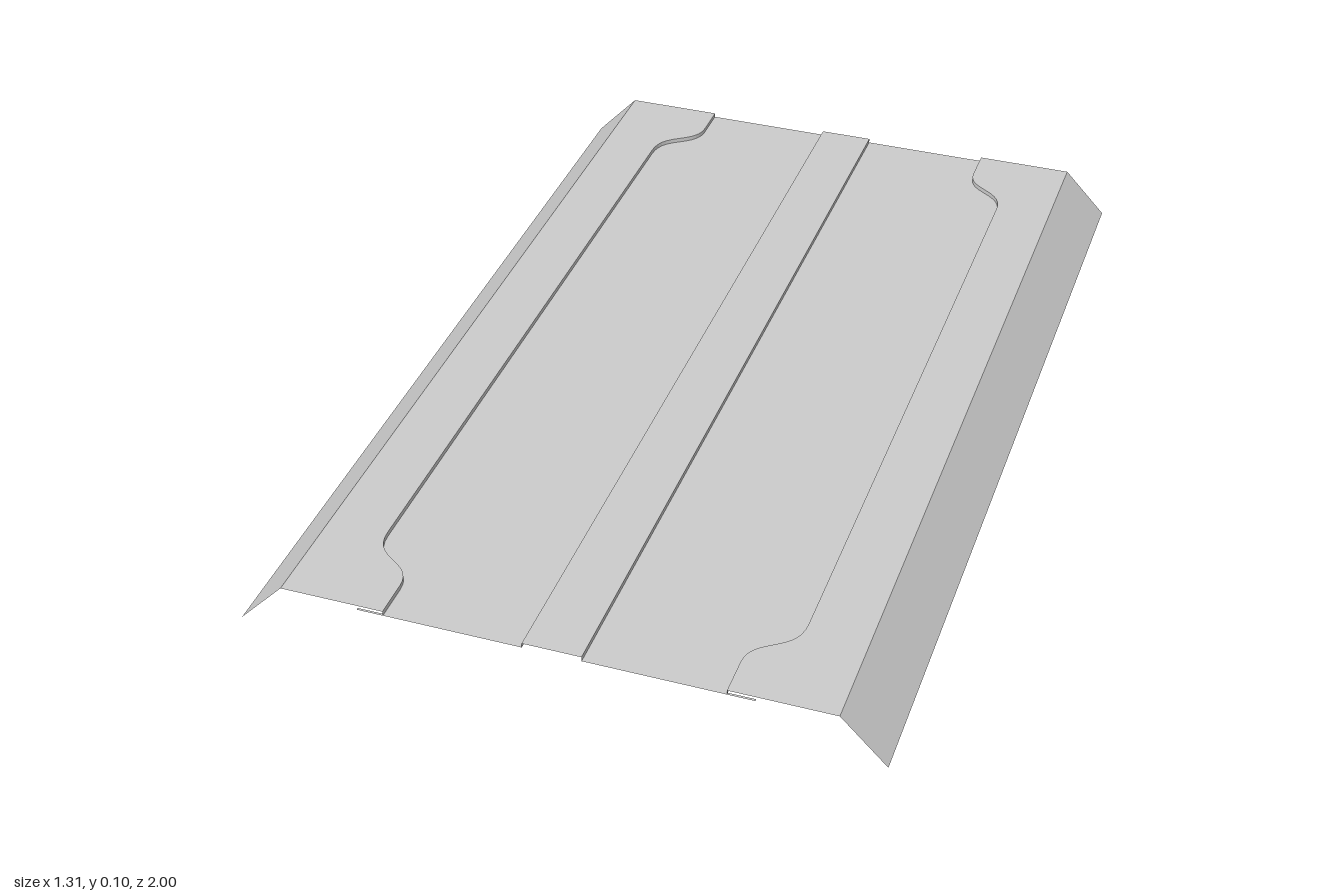
import * as THREE from 'three';

const TOP = 0.1, LOW = 0.09;          // raised and recessed sheet levels
const RIB = 0.06, FOLD = 0.56, EDGE = 0.655;

const material = new THREE.MeshStandardMaterial({
  color: 0xcccccc, flatShading: true, side: THREE.DoubleSide,
});

// Outline of the recess: narrow at the ends, wide along the middle
const bend = new THREE.CubicBezierCurve(
  new THREE.Vector2(0.345, 0.92), new THREE.Vector2(0.345, 0.845),
  new THREE.Vector2(0.435, 0.865), new THREE.Vector2(0.435, 0.78)).getPoints(14);
const outline = [
  [0.345, 1], ...bend.map(p => [p.x, p.y]),
  ...bend.slice().reverse().map(p => [p.x, -p.y]), [0.345, -1],
];
const ends = [[0, 1], [0, -1]];

// Sheet strip between two edges, each given as a function of an outline point
function strip(name, stations, inner, outer) {
  const pos = [], index = [];
  stations.forEach(([x, z], i) => {
    const [ax, ay] = inner(x), [bx, by] = outer(x);
    pos.push(ax, ay, z, bx, by, z);
    if (i) {
      const k = 2 * i;
      index.push(k - 2, k - 1, k, k - 1, k + 1, k);
    }
  });
  const geometry = new THREE.BufferGeometry();
  geometry.setAttribute('position', new THREE.Float32BufferAttribute(pos, 3));
  geometry.setIndex(index);
  const flat = geometry.toNonIndexed();
  flat.computeVertexNormals();
  const mesh = new THREE.Mesh(flat, material);
  mesh.name = name;
  return mesh;
}

function half(side) {
  const g = new THREE.Group();
  g.name = side > 0 ? 'leftHalf' : 'rightHalf';
  g.add(
    strip('ribStep', ends, () => [RIB, TOP], () => [RIB, LOW]),
    strip('recessedPanel', outline, () => [RIB, LOW], x => [x, LOW]),
    strip('recessStep', outline, x => [x, LOW], x => [x, TOP]),
    strip('raisedBorder', outline, x => [x, TOP], () => [FOLD, TOP]),
    strip('sideFlange', ends, () => [FOLD, TOP], () => [EDGE, 0]),
  );
  // Narrow lips under the border at both ends
  for (const e of [1, -1]) {
    const z = e > 0 ? [1, 0.995] : [-0.995, -1];
    g.add(strip('endLip', z.map(v => [0, v]), () => [0.345, LOW], () => [0.4, LOW]));
  }
  g.scale.x = side;
  return g;
}

export function createModel() {
  const model = new THREE.Group();
  model.name = 'foldedPanel';
  model.add(strip('centreRib', ends, () => [-RIB, TOP], () => [RIB, TOP]));
  for (const side of [1, -1]) model.add(half(side));
  return model;
}
